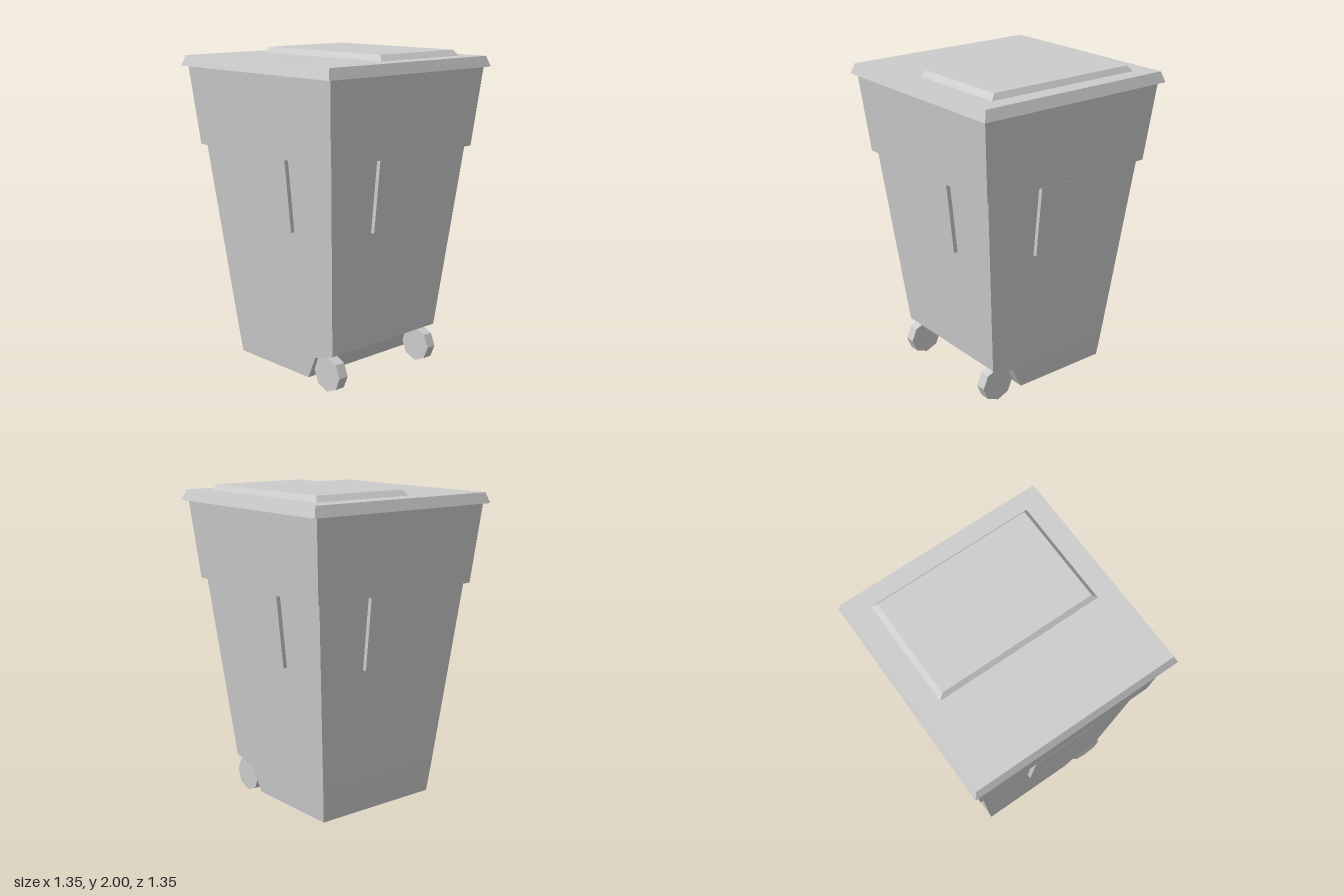
import * as THREE from 'three';

const material = new THREE.MeshStandardMaterial({ color: 0xcccccc, flatShading: true });
const shellMaterial = new THREE.MeshStandardMaterial({ color: 0xcccccc, flatShading: true, side: THREE.DoubleSide });

// Flat-sided loft through level rectangles, top to bottom: [y, halfWidth, zFront, zBack]
function loft(rings, capped) {
  const corners = rings.map(([y, h, f, b = -f]) => [[h, y, f], [h, y, b], [-h, y, b], [-h, y, f]]);
  const positions = [];
  const quad = (a, b, c, d) => positions.push(...a, ...b, ...c, ...a, ...c, ...d);
  for (let i = 0; i < corners.length - 1; i++) {
    const top = corners[i], low = corners[i + 1];
    for (let k = 0; k < 4; k++) {
      const n = (k + 1) % 4;
      quad(top[k], low[k], low[n], top[n]);
    }
  }
  if (capped) {
    quad(...corners[0]);
    quad(...corners[corners.length - 1].slice().reverse());
  }
  const geometry = new THREE.BufferGeometry();
  geometry.setAttribute('position', new THREE.Float32BufferAttribute(positions, 3));
  geometry.computeVertexNormals();
  return geometry;
}

// Box leaned so that its face follows the tapered wall
function flapGeometry(distance) {
  const geometry = new THREE.BoxGeometry(0.415, 0.44, 0.026);
  const p = geometry.attributes.position;
  for (let i = 0; i < p.count; i++) {
    p.setZ(i, p.getZ(i) + distance + 0.104 * p.getY(i));
  }
  geometry.translate(0, 1.19, 0);
  geometry.computeVertexNormals();
  return geometry;
}

export function createModel() {
  const bin = new THREE.Group();
  bin.name = 'wheeledBin';

  function add(name, geometry, mat = material) {
    const mesh = new THREE.Mesh(geometry, mat);
    mesh.name = name;
    bin.add(mesh);
    return mesh;
  }

  // Tapered shell, open below: overhanging upper band, lower walls, wheel recess at the front
  add('body', loft([
    [1.9, 0.64, 0.648],
    [1.41, 0.593, 0.6],
    [1.41, 0.566, 0.574],
    [0.24, 0.446, 0.453],
    [0.19, 0.441, 0.295, -0.447],
    [0.04, 0.425, 0.215, -0.43],
  ]), shellMaterial);

  // One flap hanging from the band on each side
  for (let k = 0; k < 4; k++) {
    add('sideFlap', flapGeometry(k % 2 ? 0.558 : 0.565)).rotation.y = k * Math.PI / 2;
  }

  // Lid with bevelled edge and an off-centre raised panel
  add('lid', loft([[1.965, 0.653, 0.653], [1.9, 0.675, 0.675]], true));
  add('lidPanel', loft([[2.0, 0.318, 0.497], [1.965, 0.339, 0.527]], true)).position.x = 0.207;

  // Eight-sided wheels
  for (const x of [-0.398, 0.378]) {
    const wheel = add('wheel', new THREE.CylinderGeometry(0.111, 0.111, 0.066, 8));
    wheel.rotation.z = Math.PI / 2;
    wheel.position.set(x, 0.112, 0.388);
  }

  return bin;
}
